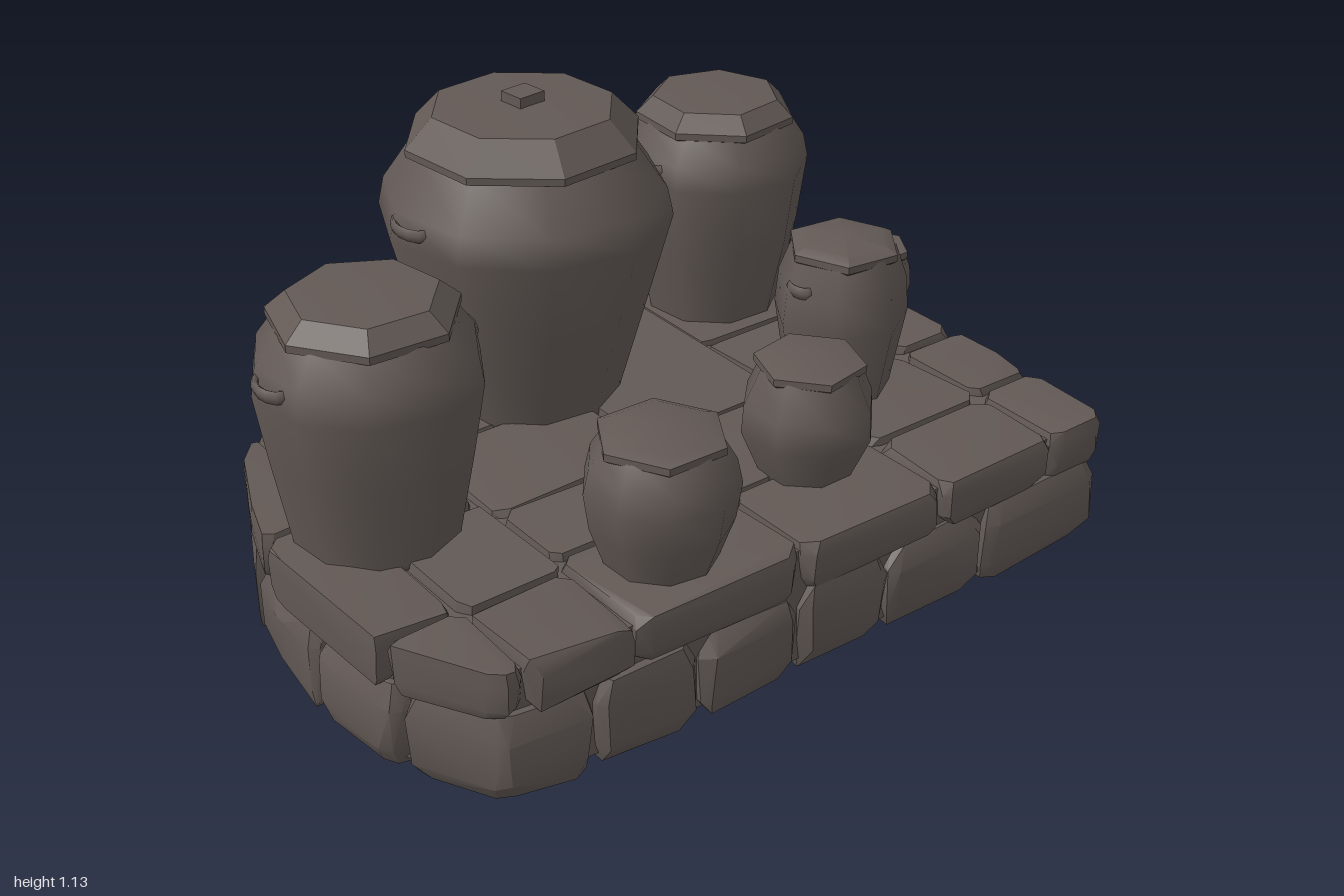
import * as THREE from 'three';
import { toCreasedNormals } from 'three/addons/utils/BufferGeometryUtils.js';
import { ConvexGeometry } from 'three/addons/geometries/ConvexGeometry.js';

const clay = new THREE.MeshStandardMaterial({ color: 0x625955 });
clay.name = 'dark clay';

// Small seeded random in -1..1
let seed = 11;
const rnd = () => {
  seed = (seed * 16807) % 2147483647;
  return (seed / 2147483647) * 2 - 1;
};

function mesh(geometry, name, parent, x = 0, y = 0, z = 0) {
  const m = new THREE.Mesh(geometry, clay);
  m.name = name;
  m.position.set(x, y, z);
  parent.add(m);
  return m;
}

// Platform outline in plan [x, z]; the back left corner is rounded
const outline = [
  [0.97, -0.72], [0.995, -0.3], [0.995, 0.3], [0.975, 0.71], [-0.5, 0.715], [-0.82, 0.69],
  [-0.955, 0.42], [-0.965, 0], [-0.91, -0.2], [-0.81, -0.41], [-0.6, -0.58], [-0.48, -0.63],
  [-0.3, -0.69], [-0.1, -0.735],
];

// Keep the part of a polygon where sign * (p[axis] - limit) >= 0
function clip(poly, axis, limit, sign) {
  const out = [];
  poly.forEach((a, i) => {
    const b = poly[(i + 1) % poly.length];
    const da = sign * (a[axis] - limit), db = sign * (b[axis] - limit);
    if (da >= 0) out.push(a);
    if (da * db < 0) {
      const t = da / (da - db);
      out.push([a[0] + (b[0] - a[0]) * t, a[1] + (b[1] - a[1]) * t]);
    }
  });
  return out;
}

// Rough hewn stone: convex hull of rings with cut corners
function stone(poly, y0, y1, topInset, bottomInset) {
  const n = poly.length;
  const cx = poly.reduce((s, p) => s + p[0], 0) / n;
  const cz = poly.reduce((s, p) => s + p[1], 0) / n;
  const h = y1 - y0;
  const rings = [[y0, bottomInset], [y0 + h * 0.22, 0.008], [y1 - h * 0.25, 0.004], [y1, topInset]];
  const pts = [];
  for (const [y, inset] of rings) {
    poly.forEach((a, i) => {
      const b = poly[(i + 1) % n];
      const len = Math.hypot(b[0] - a[0], b[1] - a[1]);
      const cut = Math.min(0.4, (0.025 + 0.012 * rnd()) / len);
      for (const t of [cut, 1 - cut]) {
        const px = a[0] + (b[0] - a[0]) * t, pz = a[1] + (b[1] - a[1]) * t;
        const d = Math.hypot(px - cx, pz - cz) || 1;
        const k = 1 - Math.min(0.5, (inset * (1.2 + 0.6 * rnd())) / d);
        pts.push(new THREE.Vector3(cx + (px - cx) * k, y + rnd() * 0.006, cz + (pz - cz) * k));
      }
    });
  }
  return toCreasedNormals(new ConvexGeometry(pts), 0.5);
}

// One course of stones: columns of [x0, x1, z lines]
function course(name, columns, y0, y1, topInset, bottomInset, parent) {
  const group = new THREE.Group();
  group.name = name;
  for (const [x0, x1, lines] of columns) {
    const strip = clip(clip(outline, 0, x0, 1), 0, x1, -1);
    const zs = [-0.8, ...lines, 0.8];
    for (let i = 0; i < zs.length - 1; i++) {
      const cell = clip(clip(strip, 1, zs[i], 1), 1, zs[i + 1], -1);
      if (cell.length > 2) mesh(stone(cell, y0, y1, topInset, bottomInset), 'stone', group);
    }
  }
  parent.add(group);
}

// Jar: smooth body, faceted lid, optional side handles
function jar({ name, x, z, sides, lidSides, turn, body, lid, handle, knob }, parent) {
  const g = new THREE.Group();
  g.name = name;
  g.position.set(x, 0, z);
  const lathe = (profile, n) =>
    new THREE.LatheGeometry(profile.map(([r, y]) => new THREE.Vector2(r, y)), n);
  mesh(lathe([[0, 0.335], [body[0][0], 0.335], ...body], sides), 'body', g).rotation.y = turn;

  const [rimR, rimY, topR, topY] = lid;
  const lidShape = lathe([
    [0, rimY - 0.02], [rimR * 0.92, rimY - 0.02], [rimR, rimY - 0.012],
    [rimR, rimY + 0.006], [topR, topY - 0.012], [0, topY],
  ], lidSides);
  mesh(toCreasedNormals(lidShape, 0.45), 'lid', g).rotation.y = turn + 0.3;

  if (handle) {
    const [r, y, size] = handle;
    for (const side of [-1, 1]) {
      const loop = new THREE.TorusGeometry(size, 0.013, 5, 6, Math.PI);
      loop.scale(1, 0.6, 1.3);
      loop.rotateX(Math.PI / 2);
      loop.rotateY(side * Math.PI / 2);
      mesh(loop, 'handle', g, side * r, y, 0);
    }
  }
  if (knob) mesh(new THREE.BoxGeometry(0.075, 0.04, 0.07), 'knob', g, 0, topY + 0.003, 0).rotation.y = 0.1;
  parent.add(g);
}

export function createModel() {
  const model = new THREE.Group();
  model.name = 'jarsOnStonePlatform';

  const platform = new THREE.Group();
  platform.name = 'platform';
  model.add(platform);

  // Solid core behind the joints
  const plan = new THREE.Shape(outline.map(([x, z]) => new THREE.Vector2(x * 0.96, -z * 0.95)));
  const core = new THREE.ExtrudeGeometry(plan, { depth: 0.3, bevelEnabled: false });
  core.rotateX(-Math.PI / 2);
  mesh(core, 'core', platform, 0, 0.03, 0);

  course('lowerStones', [
    [-1, -0.58, [-0.17, 0.16, 0.46]],
    [-0.58, -0.3, [-0.34, 0.12, 0.45]],
    [-0.3, -0.01, [-0.46, -0.16, 0.17, 0.48]],
    [-0.01, 0.26, [-0.44, -0.14, 0.15, 0.46]],
    [0.26, 0.58, [-0.47, -0.17, 0.18, 0.48]],
    [0.58, 1, [-0.48, -0.16, 0.16, 0.47]],
  ], 0.008, 0.225, 0.025, 0.03, platform);

  course('upperStones', [
    [-1, -0.75, [-0.05, 0.43]],
    [-0.75, -0.48, [-0.4, 0.1, 0.45]],
    [-0.48, -0.01, [-0.5, -0.16, 0.18, 0.4]],
    [-0.01, 0.42, [-0.46, 0.13, 0.43]],
    [0.42, 0.79, [-0.5, -0.18, 0.16, 0.46]],
    [0.79, 1, [-0.48, -0.18, 0.16, 0.44]],
  ], 0.225, 0.35, 0.012, 0.025, platform);

  const jars = [
    { name: 'largeJar', x: -0.06, z: -0.29, sides: 10, lidSides: 8, turn: 0.2, knob: true,
      body: [[0.23, 0.35], [0.29, 0.57], [0.36, 0.83], [0.345, 0.9], [0.27, 1.01]],
      lid: [0.293, 1.02, 0.225, 1.11], handle: [0.32, 0.87, 0.06] },
    { name: 'leftJar', x: -0.71, z: 0.04, sides: 10, lidSides: 7, turn: 0.1,
      body: [[0.195, 0.35], [0.235, 0.57], [0.262, 0.74], [0.25, 0.81], [0.2, 0.88]],
      lid: [0.218, 0.885, 0.17, 0.945], handle: [0.235, 0.78, 0.05] },
    { name: 'backRightJar', x: 0.62, z: -0.395, sides: 9, lidSides: 7, turn: 0.3,
      body: [[0.18, 0.35], [0.225, 0.57], [0.248, 0.75], [0.235, 0.81], [0.19, 0.88]],
      lid: [0.208, 0.885, 0.165, 0.945], handle: [0.21, 0.785, 0.05] },
    { name: 'frontLeftJar', x: -0.28, z: 0.525, sides: 9, lidSides: 6, turn: 0.2,
      body: [[0.13, 0.35], [0.165, 0.45], [0.178, 0.54], [0.165, 0.6], [0.135, 0.65]],
      lid: [0.152, 0.655, 0.12, 0.685] },
    { name: 'frontRightJar', x: 0.23, z: 0.43, sides: 8, lidSides: 6, turn: 0.4,
      body: [[0.115, 0.35], [0.162, 0.46], [0.158, 0.53], [0.12, 0.62]],
      lid: [0.132, 0.625, 0.105, 0.65] },
    { name: 'tallJar', x: 0.56, z: 0.175, sides: 7, lidSides: 6, turn: 0.1,
      body: [[0.135, 0.35], [0.17, 0.55], [0.162, 0.64], [0.13, 0.73]],
      lid: [0.143, 0.73, 0.115, 0.762], handle: [0.135, 0.65, 0.03] },
    { name: 'smallJar', x: 0.845, z: -0.02, sides: 7, lidSides: 6, turn: 0.2,
      body: [[0.088, 0.35], [0.115, 0.45], [0.11, 0.5], [0.088, 0.56]],
      lid: [0.1, 0.565, 0.08, 0.582] },
  ];
  for (const j of jars) jar(j, model);
  return model;
}
